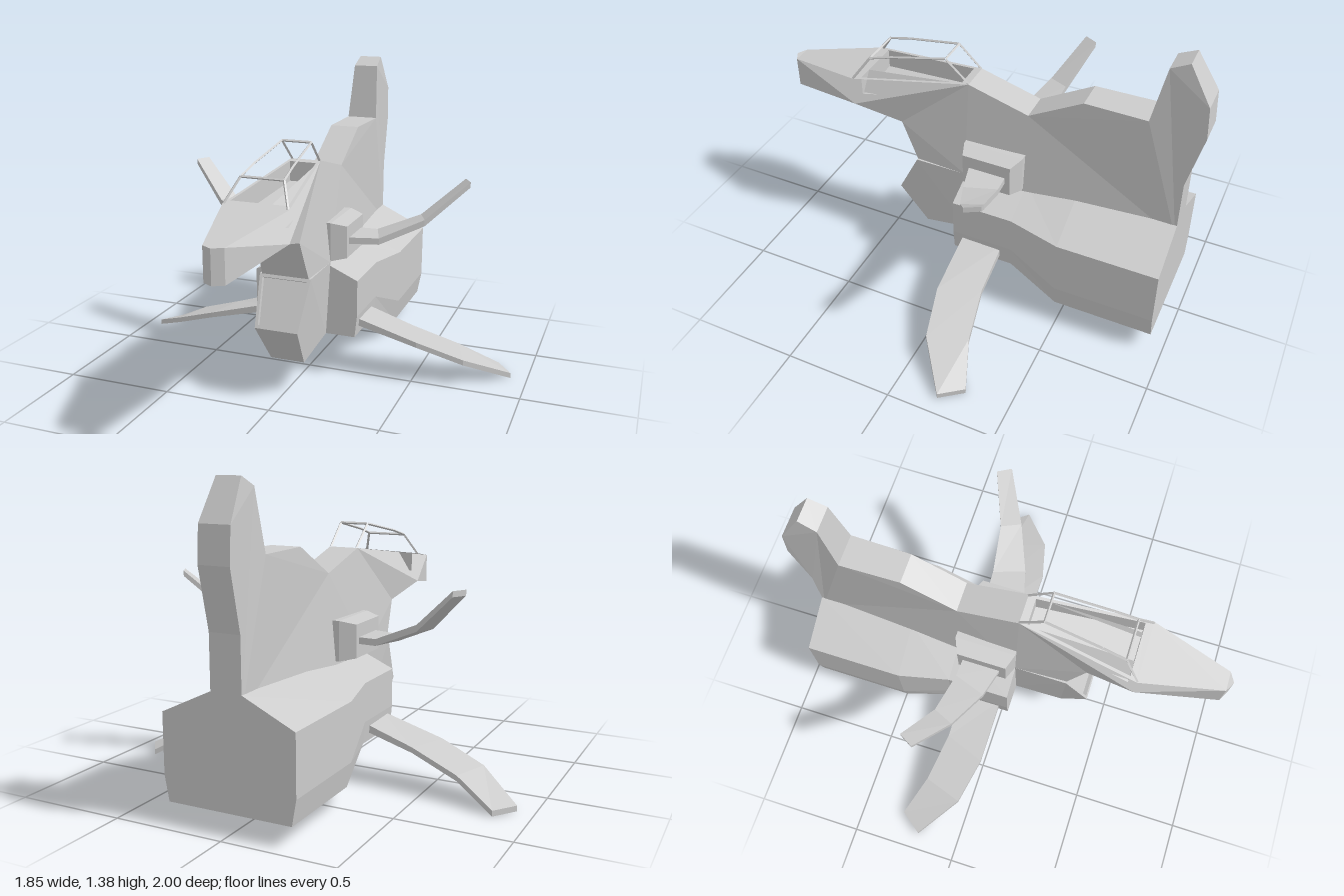
import * as THREE from 'three';

const material = new THREE.MeshStandardMaterial({ color: 0xcccccc, flatShading: true });

function addMesh(group, name, geometry) {
  const mesh = new THREE.Mesh(geometry, material);
  mesh.name = name;
  group.add(mesh);
}

// Flat-shaded geometry from a list of convex faces, corners counter-clockwise
function fromFaces(faces) {
  const pos = [];
  for (const f of faces)
    for (let i = 1; i < f.length - 1; i++) pos.push(...f[0], ...f[i], ...f[i + 1]);
  const g = new THREE.BufferGeometry();
  g.setAttribute('position', new THREE.Float32BufferAttribute(pos, 3));
  g.computeVertexNormals();
  return g;
}

// Side profile of [z, y, halfWidth] points; the edge after point `open` is left open
function slab(profile, open = -1) {
  const R = profile.map(([z, y, w]) => [w, y, z]);
  const L = profile.map(([z, y, w]) => [-w, y, z]);
  const faces = [];
  const outline = profile.map(([z, y]) => new THREE.Vector2(-z, y));
  for (const [a, b, c] of THREE.ShapeUtils.triangulateShape(outline, []))
    faces.push([R[a], R[b], R[c]], [L[a], L[c], L[b]]);
  for (let i = 0; i < profile.length; i++) {
    const j = (i + 1) % profile.length;
    if (i !== open) faces.push([R[i], L[i], L[j], R[j]]);
  }
  return fromFaces(faces);
}

// Rim, walls and floor of a recess that fills the open edge from point a to b
function recess(a, b, inset, depth) {
  const outer = [[a[2], a[1], a[0]], [-a[2], a[1], a[0]], [-b[2], b[1], b[0]], [b[2], b[1], b[0]]];
  const mid = [0, (a[1] + b[1]) / 2, (a[0] + b[0]) / 2];
  const inner = outer.map(p => p.map((v, k) => v + (mid[k] - v) * inset));
  const floor = inner.map(p => p.map((v, k) => v + depth[k]));
  const faces = [floor];
  for (let i = 0; i < 4; i++) {
    const j = (i + 1) % 4;
    faces.push([outer[i], outer[j], inner[j], inner[i]], [inner[i], inner[j], floor[j], floor[i]]);
  }
  return fromFaces(faces);
}

// Joins matching rings, each counter-clockwise about the direction of travel
function loft(rings) {
  const faces = [[...rings[0]].reverse(), rings[rings.length - 1]];
  for (let k = 0; k < rings.length - 1; k++) {
    const a = rings[k], b = rings[k + 1];
    for (let i = 0; i < a.length; i++) {
      const j = (i + 1) % a.length;
      faces.push([a[i], a[j], b[j], b[i]]);
    }
  }
  return fromFaces(faces);
}

// Sideways part from [leading point, trailing point, thickness] stations
function wing(stations, side) {
  return loft(stations.map(([l, t, h]) => {
    const ring = [[t, 1], [l, 1], [l, -1], [t, -1]]
      .map(([p, s]) => [p[0] * side, p[1] + s * h / 2, p[2]]);
    return side > 0 ? ring : ring.reverse();
  }));
}

function bar(group, name, a, b, radius = 0.006) {
  const path = new THREE.LineCurve3(new THREE.Vector3(...a), new THREE.Vector3(...b));
  addMesh(group, name, new THREE.TubeGeometry(path, 1, radius, 4));
}

export function createModel() {
  const model = new THREE.Group();
  model.name = 'spacecraft';

  // Nose and cockpit section, open along the top
  const rimFront = [0.6, 0.94, 0.145], rimBack = [0.05, 1.02, 0.07];
  addMesh(model, 'noseSection', slab([
    [0.975, 0.885, 0.045], [0.975, 0.74, 0.045], [0.6, 0.8, 0.145], [0.38, 0.735, 0.1],
    [0.3, 0.55, 0.11], [0.05, 0.55, 0.12], rimBack, rimFront,
  ], 6));
  addMesh(model, 'cockpitTub', recess(rimBack, rimFront, 0.13, [0, -0.09, 0]));
  addMesh(model, 'noseTip', loft([0.74, 0.885].map(y =>
    [[-0.045, y, 0.975], [0.0, y, 1.0], [0.045, y, 0.975]].map(p => [...p]))));

  // Spine rising into the tail fin
  addMesh(model, 'spineAndFin', slab([
    [0.05, 1.02, 0.07], [0.05, 0.55, 0.12], [-0.24, 0.5, 0.07], [-0.94, 0.5, 0.07],
    [-0.94, 0.8, 0.07], [-1, 1.06, 0.07], [-0.99, 1.21, 0.07], [-0.89, 1.38, 0.055],
    [-0.81, 1.34, 0.06], [-0.76, 1.08, 0.075], [-0.48, 1.08, 0.07], [-0.235, 0.94, 0.07],
  ]));

  // Chin intake with a framed, sunken panel
  const lipTop = [0.3, 0.55, 0.12], lipLow = [0.41, 0.335, 0.1];
  addMesh(model, 'intake', slab([
    lipTop, lipLow, [0.28, 0.145, 0.08], [0.05, 0.2, 0.1], [0.05, 0.55, 0.12],
  ], 0));
  addMesh(model, 'intakePanel', recess(lipTop, lipLow, 0.12, [0, -0.009, -0.018]));

  // Engine hull: half sections mirrored, lofted front to back
  const sections = [
    [0.05, 0.555, 0.25, 0.475, 0.3, 0.24, 0.2],
    [-0.24, 0.555, 0.25, 0.475, 0.3, 0.24, 0.2],
    [-0.48, 0.57, 0.3, 0.46, 0.2, 0.28, 0.09],
    [-0.94, 0.57, 0.3, 0.46, 0.2, 0.28, 0.09],
  ];
  addMesh(model, 'engineHull', loft(sections.map(([z, top, w, shoulder, mid, wb, bottom]) => {
    const half = [[0.07, top, z], [w, shoulder, z], [w, mid, z], [wb, bottom, z]];
    return [...half, ...half.map(([x, y]) => [-x, y, z]).reverse()];
  })));

  // Wing pods, upper wings and lower wings on both sides
  for (const [side, label] of [[1, 'left'], [-1, 'right']]) {
    addMesh(model, label + 'WingPod', wing([
      [[0.05, 0.645, 0.05], [0.05, 0.645, -0.235], 0.18],
      [[0.12, 0.645, 0.05], [0.12, 0.645, -0.235], 0.18],
      [[0.19, 0.645, 0.025], [0.19, 0.645, -0.205], 0.15],
    ], side));
    addMesh(model, label + 'UpperWing', wing([
      [[0.17, 0.645, 0], [0.17, 0.645, -0.18], 0.03],
      [[0.32, 0.645, -0.04], [0.27, 0.645, -0.185], 0.03],
      [[0.51, 0.73, -0.12], [0.47, 0.73, -0.21], 0.03],
      [[0.69, 0.9, -0.225], [0.655, 0.9, -0.287], 0.025],
    ], side));
    addMesh(model, label + 'LowerWing', wing([
      [[0.22, 0.265, 0.005], [0.22, 0.26, -0.185], 0.035],
      [[0.52, 0.183, 0], [0.45, 0.188, -0.19], 0.025],
      [[0.73, 0.108, -0.05], [0.67, 0.11, -0.23], 0.025],
      [[0.925, 0.0125, -0.2], [0.85, 0.0125, -0.3], 0.025],
    ], side));
  }

  // Canopy frame: two bent rails joined by cross bars
  const rail = [[0.14, 0.94, 0.6], [0.095, 1.04, 0.53], [0.087, 1.07, 0.42],
    [0.068, 1.122, 0.16], [0.065, 1.02, 0.05]];
  for (const side of [1, -1])
    for (let i = 0; i < rail.length - 1; i++)
      bar(model, 'canopyRail', ...[rail[i], rail[i + 1]].map(([x, y, z]) => [x * side, y, z]));
  for (const [x, y, z] of [rail[1], rail[3]])
    bar(model, 'canopyCrossBar', [-x, y, z], [x, y, z]);

  return model;
}
